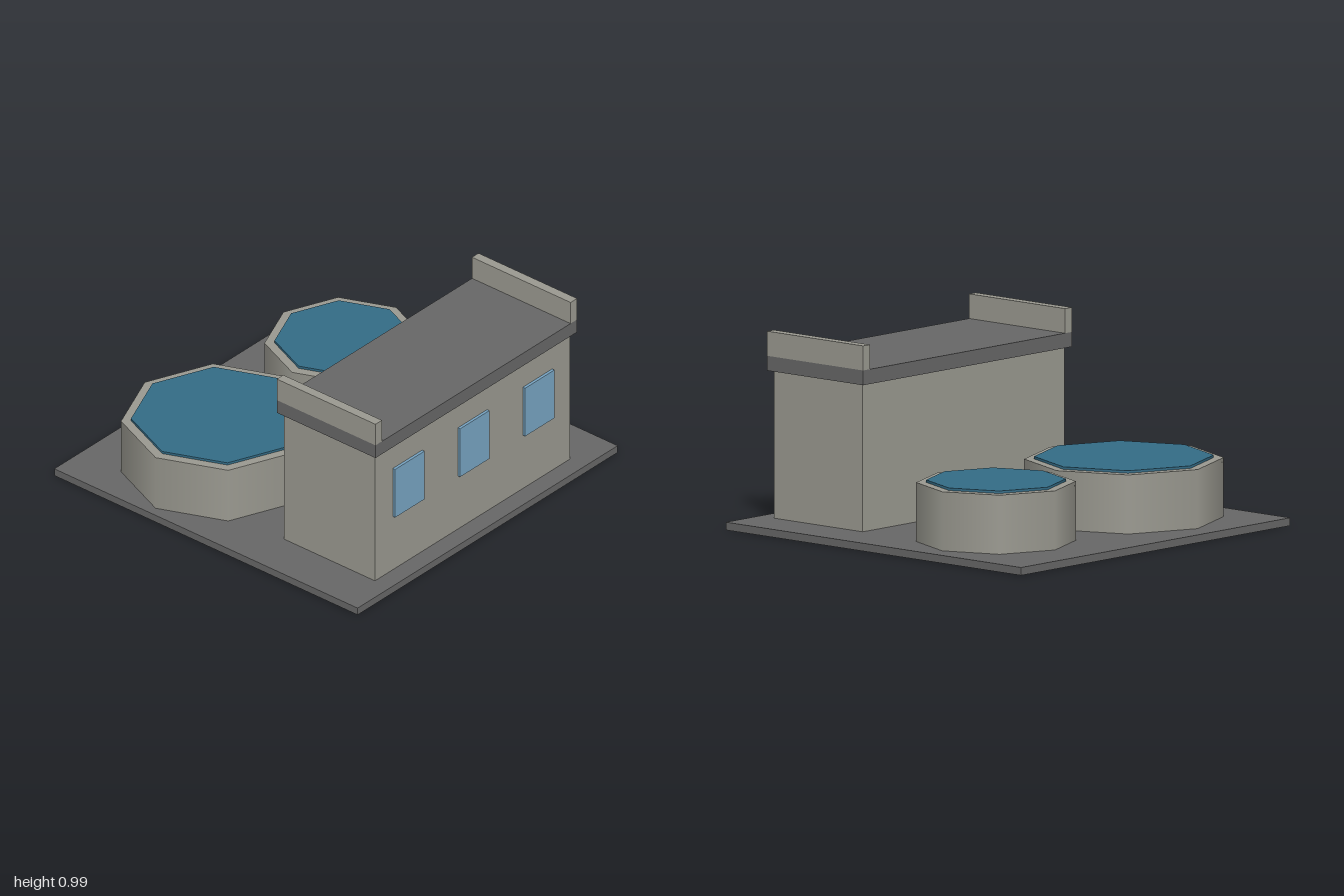
import * as THREE from 'three';

const material = (name, color) => {
  const m = new THREE.MeshStandardMaterial({ color });
  m.name = name;
  return m;
};

export function createModel() {
  const model = new THREE.Group();
  model.name = 'waterTreatmentPlant';

  const concrete = material('concrete', 0x99988f);
  const darkGrey = material('darkGrey', 0x666666);
  const water = material('water', 0x336b85);
  const glass = material('glass', 0x77a3c1);

  const add = (name, geometry, mat, x, y, z) => {
    const mesh = new THREE.Mesh(geometry, mat);
    mesh.name = name;
    mesh.position.set(x, y, z);
    model.add(mesh);
  };
  // Box placed by its bottom height
  const box = (name, mat, w, h, d, x, bottom, z) =>
    add(name, new THREE.BoxGeometry(w, h, d), mat, x, bottom + h / 2, z);
  // Eight-sided drum with smooth sides, placed by its bottom height
  const drum = (name, mat, r, h, x, bottom, z) =>
    add(name, new THREE.CylinderGeometry(r, r, h, 8), mat, x, bottom + h / 2, z);

  box('groundSlab', darkGrey, 2, 0.04, 2, 0, 0, 0);

  // Pump house with flat roof and end parapets
  box('houseWalls', concrete, 1.5, 0.75, 0.6, 0, 0.04, 0.6);
  box('roofSlab', darkGrey, 1.55, 0.075, 0.65, 0, 0.79, 0.6);
  for (const [side, name] of [[1, 'leftParapet'], [-1, 'rightParapet']]) {
    box(name, concrete, 0.05, 0.125, 0.65, side * 0.75, 0.865, 0.6);
  }

  // Front windows
  for (const x of [-0.5, 0, 0.5]) {
    box('window', glass, 0.225, 0.285, 0.015, x, 0.355, 0.9075);
  }

  // Round settling tanks, each with a water disc inside the rim
  for (const [name, x, r] of [['largeTank', -0.45, 0.5], ['smallTank', 0.5, 0.4]]) {
    drum(name, concrete, r, 0.3, x, 0.04, -0.375);
    drum(name + 'Water', water, r - 0.05, 0.015, x, 0.338, -0.375);
  }

  return model;
}
